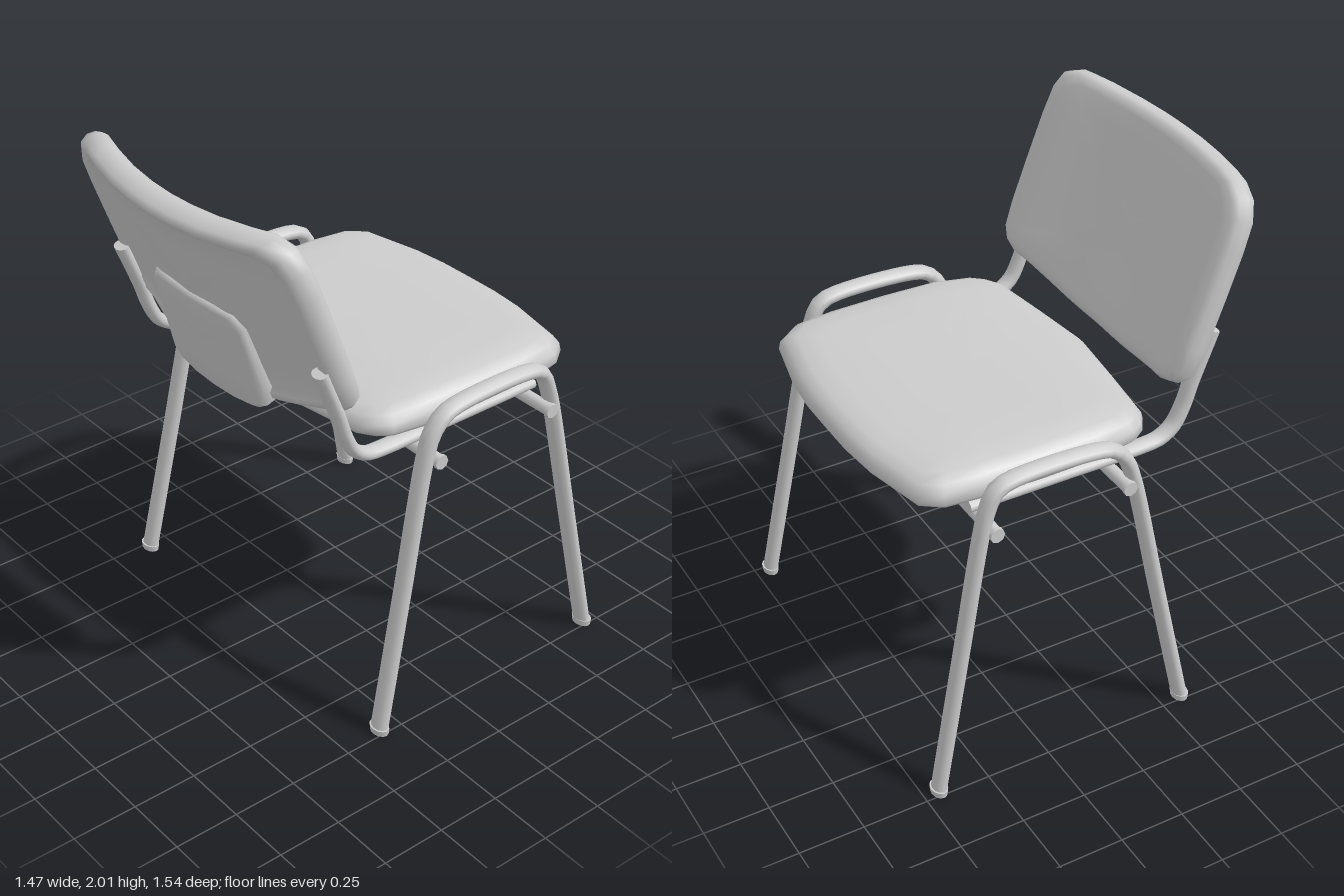
import * as THREE from 'three';
import { mergeGeometries } from 'three/addons/utils/BufferGeometryUtils.js';

const material = new THREE.MeshStandardMaterial({ color: 0xcccccc });
const OVAL = 1.4; // tube width along z relative to its thickness

function addMesh(parent, geometry, name) {
  const mesh = new THREE.Mesh(geometry, material);
  mesh.name = name;
  parent.add(mesh);
  return mesh;
}

// Closed padded form: a mirrored half outline, scaled ring by ring.
// half: [a, b] from the lowest b to the highest; rings: [scale, height]
function cushion(half, rings, place) {
  const mirrored = half.slice(1, -1).reverse().map(([a, b]) => [-a, b]);
  const outline = [...half, ...mirrored];
  const n = outline.length;
  const mid = (half[0][1] + half[half.length - 1][1]) / 2;
  const positions = [], index = [];
  rings.forEach(([k, h], i) => {
    outline.forEach(([a, b], j) => {
      positions.push(...place(a * k, mid + (b - mid) * k, h));
      if (i === rings.length - 1) return;
      const A = i * n + j, B = i * n + (j + 1) % n;
      if (k > 0) index.push(A, B, B + n);
      if (rings[i + 1][0] > 0) index.push(A, B + n, A + n);
    });
  });
  const geometry = new THREE.BufferGeometry();
  geometry.setAttribute('position', new THREE.Float32BufferAttribute(positions, 3));
  geometry.setIndex(index);
  geometry.computeVertexNormals();
  return geometry;
}

// Oval tube with capped ends through [x, y, z] points
function ovalTube(points, radius, segments) {
  const curve = new THREE.CatmullRomCurve3(
    points.map(([x, y, z]) => new THREE.Vector3(x, y, z / OVAL)), false, 'centripetal');
  const parts = [new THREE.TubeGeometry(curve, segments, radius, 12)];
  for (const t of [0, 1]) {
    const cap = new THREE.CircleGeometry(radius, 12);
    const outward = curve.getTangentAt(t).multiplyScalar(t ? 1 : -1);
    cap.applyQuaternion(new THREE.Quaternion().setFromUnitVectors(new THREE.Vector3(0, 0, 1), outward));
    const p = curve.getPointAt(t);
    cap.translate(p.x, p.y, p.z);
    parts.push(cap);
  }
  return mergeGeometries(parts).scale(1, 1, OVAL);
}

// Backrest frame: a across, v up the slope, w towards the sitter; sides bow forward
const bow = (z) => 0.09 * Math.min(1, (z / 0.52) ** 2);
const onBack = (a, v, w) => {
  const d = w + bow(a);
  return [-0.355 * v + 0.935 * d, 0.935 * v + 0.355 * d, -a];
};

export function createModel() {
  const chair = new THREE.Group();
  chair.name = 'chair';

  // Seat cushion, dropping towards the back and front edges
  const seatHalf = [
    [0, -0.335], [0.25, -0.305], [0.5, -0.27], [0.56, -0.23], [0.595, -0.18], [0.62, -0.03],
    [0.625, 0.2], [0.62, 0.43], [0.605, 0.58], [0.55, 0.655], [0.3, 0.71], [0.15, 0.724], [0, 0.725],
  ];
  const seatRings = [
    [0, 1.12], [0.9, 1.12], [0.97, 1.13], [1, 1.155], [0.99, 1.19], [0.955, 1.22],
    [0.89, 1.24], [0.75, 1.25], [0.4, 1.25], [0, 1.247],
  ];
  addMesh(chair, cushion(seatHalf, seatRings, (a, b, h) => {
    const drop = 0.03 * Math.max(0, -b / 0.3) + 0.015 * Math.max(0, (b - 0.5) / 0.2);
    return [b, h - drop * Math.max(0, (h - 1.14) / 0.11), a];
  }), 'seat');

  // Backrest pad with a raised rim around its recessed rear
  const padHalf = [
    [0, 1.29], [0.1, 1.29], [0.2, 1.295], [0.32, 1.31], [0.42, 1.325], [0.52, 1.34], [0.58, 1.36],
    [0.615, 1.4], [0.625, 1.5], [0.625, 1.7], [0.622, 1.88], [0.612, 1.99], [0.575, 2.06],
    [0.5, 2.095], [0.4, 2.1], [0.25, 2.103], [0.12, 2.105], [0, 2.105],
  ];
  const padRings = [
    [0, 0.01], [0.3, 0.01], [0.6, 0.01], [0.86, 0.01], [0.89, -0.006], [0.95, -0.008], [0.985, 0.01],
    [1, 0.045], [0.985, 0.075], [0.95, 0.092], [0.88, 0.098], [0.7, 0.098], [0.45, 0.096], [0.2, 0.095], [0, 0.095],
  ];
  const backrest = new THREE.Group();
  backrest.name = 'backrest';
  chair.add(backrest);
  addMesh(backrest, cushion(padHalf, padRings, onBack), 'backrestPad');

  // Wedge-shaped raised panel low on the rear
  const panelHalf = [[0, 1.275], [0.12, 1.275], [0.22, 1.28], [0.27, 1.31], [0.26, 1.64], [0.22, 1.69], [0.12, 1.7], [0, 1.7]];
  const panelRings = [[0, 0], [0.5, 0], [0.93, 0], [1, 0.014], [1, 0.06], [0, 0.06]];
  addMesh(backrest, cushion(panelHalf, panelRings,
    (a, v, h) => onBack(a, v, h - 0.05 + 0.045 * (v - 1.275) / 0.425)), 'rearPanel');

  // Each side: a bent leg loop, its feet and a rail from seat to backrest
  const legPath = [
    [-0.335, 0.012], [-0.225, 0.54], [-0.115, 1.07], [-0.085, 1.155], [-0.035, 1.21], [0.03, 1.23],
    [0.38, 1.23], [0.43, 1.205], [0.465, 1.13], [0.488, 1.04], [0.588, 0.53], [0.69, 0.012],
  ];
  const railPath = [
    [0.48, 1.1], [0.1, 1.1], [-0.23, 1.1], [-0.29, 1.108], [-0.345, 1.145], [-0.385, 1.22], [-0.415, 1.31], [-0.49, 1.5],
  ];
  for (const side of [1, -1]) {
    const prefix = side > 0 ? 'left' : 'right';
    const legZ = (y) => side * (0.68 + 0.045 * Math.max(0, 1 - y / 1.15));
    addMesh(chair, ovalTube(legPath.map(([x, y]) => [x, y, legZ(y)]), 0.027, 72), prefix + 'LegLoop');
    for (const x of [-0.335, 0.69]) {
      const foot = addMesh(chair, new THREE.CylinderGeometry(0.031, 0.029, 0.024, 12), prefix + 'Foot');
      foot.scale.z = OVAL;
      foot.position.set(x, 0.012, legZ(0));
    }
    addMesh(chair, ovalTube(railPath.map(([x, y]) => [x, y, side * 0.575]), 0.025, 48), prefix + 'Rail');
  }

  // Cross bars under the seat, with bolt heads outside the legs
  for (const x of [-0.078, 0.447]) {
    const bar = addMesh(chair, new THREE.CylinderGeometry(0.025, 0.025, 1.44, 12), 'crossBar');
    bar.rotation.x = Math.PI / 2;
    bar.position.set(x, 1.06, 0);
    for (const side of [1, -1]) {
      const bolt = addMesh(chair, new THREE.CylinderGeometry(0.028, 0.028, 0.018, 8), 'boltHead');
      bolt.rotation.x = Math.PI / 2;
      bolt.position.set(x, 1.06, side * 0.722);
    }
  }
  return chair;
}
